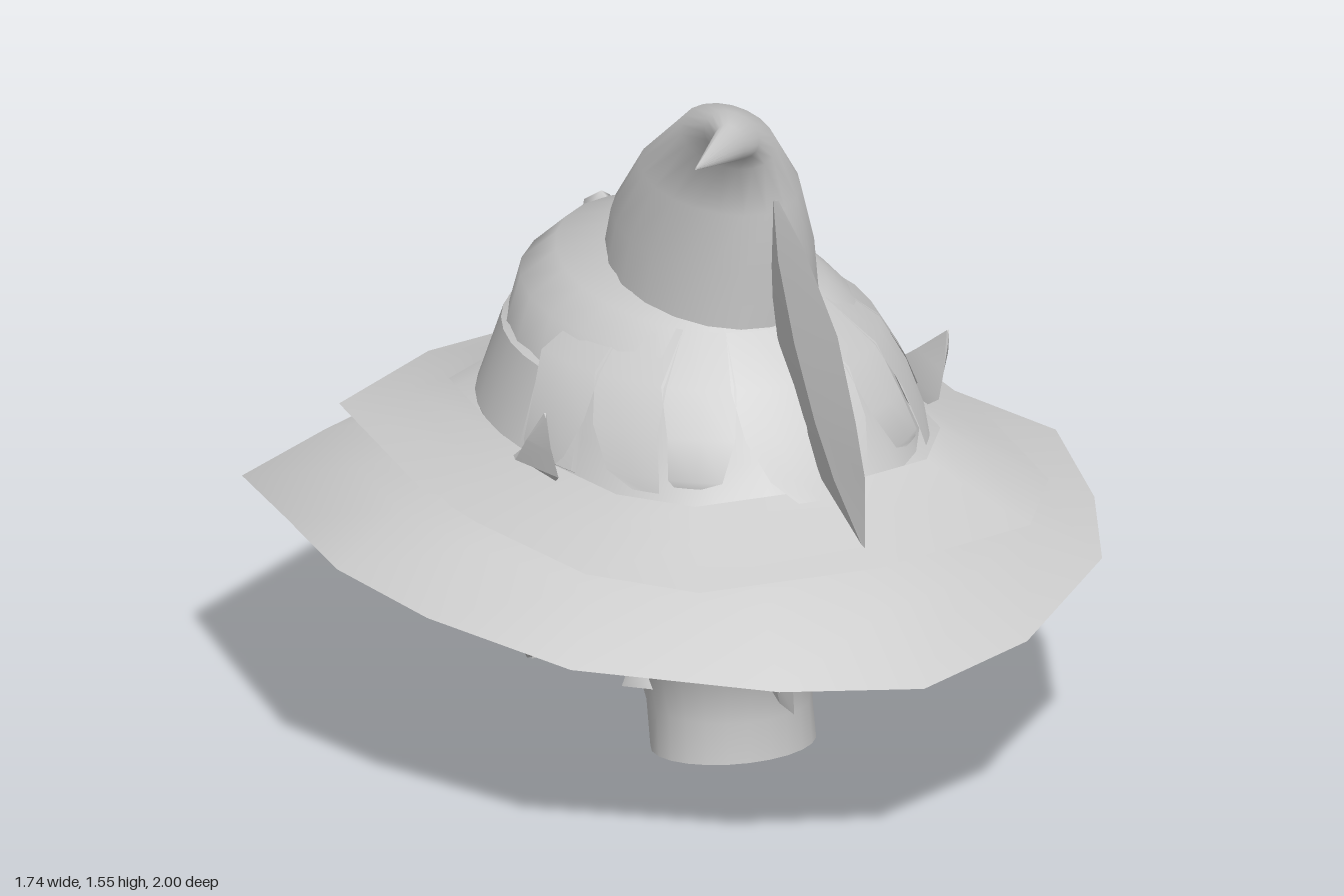
import * as THREE from 'three';
import { toCreasedNormals } from 'three/addons/utils/BufferGeometryUtils.js';

const grey = new THREE.MeshStandardMaterial({ color: 0xcccccc, side: THREE.DoubleSide });
grey.name = 'light grey';

// Joins rows of points into a skin; closed rows wrap around, caps close both ends
function skin(rows, closed = true, caps = false, crease = 0.7) {
  const n = rows[0].length, pos = rows.flat(2), idx = [];
  for (let r = 0; r < rows.length - 1; r++)
    for (let i = 0; i < (closed ? n : n - 1); i++) {
      const j = (i + 1) % n, a = r * n + i, b = r * n + j;
      idx.push(a, b, b + n, a, b + n, a + n);
    }
  if (caps)
    for (let i = 1; i < n - 1; i++) {
      const e = (rows.length - 1) * n;
      idx.push(0, i + 1, i, e, e + i, e + i + 1);
    }
  const g = new THREE.BufferGeometry();
  g.setAttribute('position', new THREE.Float32BufferAttribute(pos, 3));
  g.setIndex(idx);
  g.computeVertexNormals();
  return toCreasedNormals(g, crease);
}

// Tilted ellipse from its front point, back point, half width and x centre
function ring([zf, yf, zb, yb, rx, cx = 0], n = 24) {
  return Array.from({ length: n }, (_, i) => {
    const a = (i / n) * Math.PI * 2, t = Math.cos(a);
    return [cx + rx * Math.sin(a), (yf + yb) / 2 + t * (yf - yb) / 2, (zf + zb) / 2 + t * (zf - zb) / 2];
  });
}

// Diamond-section blade: each row is [outer z, outer y, inner z, inner y, half thickness]
function blade(rows) {
  return skin(rows.map(([zo, yo, zi, yi, w]) => {
    const y = (yo + yi) / 2, z = (zo + zi) / 2;
    return [[0, yo, zo], [w, y, z], [0, yi, zi], [-w, y, z]];
  }), true, true, 0.3);
}

const crownRings = [
  [0.56, 0.7, -0.53, 0.7, 0.44], [0.5, 0.78, -0.5, 0.8, 0.41], [0.45, 0.88, -0.475, 0.9, 0.375],
  [0.39, 0.97, -0.47, 0.99, 0.33], [0.34, 1.01, -0.38, 1.07, 0.265], [0.3, 1.04, -0.2, 1.14, 0.19],
];

// Point on the crown at a given angle and height, pushed out by lift
function crownPoint(a, y, lift) {
  let k = 0;
  while (k < 3 && y > crownRings[k + 1][1]) k++;
  const p = crownRings[k], q = crownRings[k + 1];
  const t = (y - p[1]) / (q[1] - p[1]);
  const v = p.map((c, i) => c + (q[i] - c) * t);
  return [(v[4] + lift) * Math.sin(a), y, (v[0] + v[2]) / 2 + Math.cos(a) * ((v[0] - v[2]) / 2 + lift)];
}

export function createModel() {
  const model = new THREE.Group();
  const add = (name, geometry, parent = model) => {
    const m = new THREE.Mesh(geometry, grey);
    m.name = name;
    parent.add(m);
    return m;
  };

  // Wide angular brim, riding higher on one side
  const rim = [
    [0, 0.43, 1], [0.31, 0.44, 0.89], [0.64, 0.47, 0.62], [0.77, 0.49, 0.35], [0.87, 0.5, 0],
    [0.78, 0.5, -0.33], [0.61, 0.48, -0.7], [0.35, 0.45, -0.94], [0.05, 0.5, -1], [-0.29, 0.44, -0.93],
    [-0.73, 0.47, -0.67], [-0.8, 0.5, -0.35], [-0.87, 0.52, 0], [-0.8, 0.49, 0.27], [-0.64, 0.46, 0.61],
    [-0.29, 0.44, 0.89],
  ];
  const rimAt = (s, y, mix, tilt) => rim.map(([x, ry, z]) => [x * s, y + (ry - 0.47) * mix - x * tilt, z * s]);
  add('brim', skin([rim, rimAt(0.82, 0.562, 0.5, 0.04), rimAt(0.63, 0.63, 0, 0.025), rimAt(0.46, 0.68, 0, 0)], true, false, 1.2));

  // Smaller brim layer lying over it
  const half = [[0, 0.8], [0.4, 0.74], [0.56, 0.53], [0.62, 0.16], [0.63, -0.07], [0.55, -0.57], [0.24, -0.74]];
  const layer = [...half, [0, -0.77], ...half.slice(1).reverse().map(([x, z]) => [-x, z])];
  add('brimLayer', skin([
    layer.map(([x, z]) => [x, 0.635, z]),
    layer.map(([x, z]) => [x * 0.82, 0.685, z * 0.8]),
    layer.map(([x, z]) => [x * 0.7, 0.725, z * 0.68]),
  ], true, false, 1.2));

  // Crown and bent point of the hat
  add('crown', skin(crownRings.map((r) => ring(r)), true, false, 0.9));
  add('hatPoint', skin([
    [0.33, 1.02, -0.2, 1.11, 0.215], [0.34, 1.15, -0.18, 1.19, 0.2, -0.005],
    [0.35, 1.29, -0.06, 1.33, 0.16, -0.022], [0.35, 1.4, 0.13, 1.47, 0.1, -0.055],
    [0.4, 1.45, 0.29, 1.52, 0.06, -0.105], [0.48, 1.485, 0.43, 1.55, 0.035, -0.17],
    [0.58, 1.53, 0.58, 1.535, 0.003, -0.32],
  ].map((r) => ring(r, 20)), true, false, 1));

  // Upright crest blade
  add('crest', blade([
    [0.36, 1.32, 0.33, 1.31, 0.004], [0.47, 1.25, 0.32, 1.15, 0.02], [0.62, 1.1, 0.36, 0.99, 0.033],
    [0.7, 0.93, 0.45, 0.86, 0.03], [0.74, 0.82, 0.55, 0.75, 0.022], [0.74, 0.66, 0.72, 0.67, 0.003],
  ]));

  // Torn flaps hanging over the front of the crown
  const flaps = new THREE.Group();
  flaps.name = 'frontFlaps';
  model.add(flaps);
  for (let i = 0; i < 8; i++) {
    const a = (i - 3.5) * 0.37, low = 0.715 + (i % 3) * 0.015, lean = i % 2 ? 0.05 : -0.04;
    const row = (y, w, lift, s = 0) => [-w, 0, w].map((d) => crownPoint(a + d + s, y, lift));
    add('flap', skin([
      row(1.02, 0.16 + (i % 2) * 0.05, 0.012), row(0.93, 0.2, 0.03), row(0.84, 0.16, 0.04),
      row(0.76, 0.12, 0.04, lean), row(low, 0.06, 0.03, lean * 2),
    ], false), flaps);
  }

  // Band around the sides and back
  const bandRows = [];
  for (let i = 0; i <= 24; i++) {
    const a = 1.2 + (i / 24) * (2 * Math.PI - 2.4);
    bandRows.push([[0.72, 0.0], [0.73, 0.02], [0.89, 0.014], [0.9, 0.0]].map(([y, l]) => crownPoint(a, y, l)));
  }
  add('band', skin(bandRows, true, true));

  // Buckle at the back
  const buckle = new THREE.Group();
  buckle.name = 'buckle';
  buckle.position.set(0, 0.81, -0.525);
  buckle.rotation.x = 0.25;
  model.add(buckle);
  for (const s of [-1, 1]) {
    add('buckleSide', new THREE.BoxGeometry(0.02, 0.15, 0.02), buckle).position.x = s * 0.06;
    add('buckleBar', new THREE.BoxGeometry(0.14, 0.02, 0.02), buckle).position.y = s * 0.065;
  }
  const pin = add('bucklePin', new THREE.BoxGeometry(0.16, 0.018, 0.02), buckle);
  pin.position.set(-0.05, 0, -0.01);

  // Small tuft on the crown
  const tuft = add('tuft', new THREE.CylinderGeometry(0.03, 0.06, 0.05, 4));
  tuft.position.set(0, 1.03, -0.42);
  tuft.rotation.x = -0.8;

  // Neck and skull
  add('neck', skin([
    [0.325, 0.03, 0, 0, 0.18], [0.32, 0.12, -0.03, 0.1, 0.176], [0.33, 0.2, -0.08, 0.18, 0.186],
    [0.39, 0.32, -0.15, 0.3, 0.23], [0.45, 0.47, -0.25, 0.47, 0.32], [0.47, 0.68, -0.3, 0.68, 0.36],
  ].map((r) => ring(r)), true, false, 1));
  add('face', skin([
    [-0.06, 0.13, -0.38, 0.1, 0.08], [0.02, 0.15, -0.4, 0.12, 0.16], [0.1, 0.24, -0.43, 0.23, 0.23],
    [0.15, 0.36, -0.45, 0.36, 0.29], [0.15, 0.5, -0.43, 0.5, 0.32], [0.15, 0.68, -0.4, 0.68, 0.34],
  ].map((r) => ring(r)), true, true, 0.9));

  // Hair ridge at the nape
  add('napeRidge', blade([
    [0.52, 0.46, 0.36, 0.46, 0.03], [0.46, 0.35, 0.33, 0.33, 0.022],
    [0.42, 0.27, 0.32, 0.23, 0.018], [0.43, 0.17, 0.33, 0.19, 0.008],
  ]));

  // Mirrored side parts
  for (const s of [1, -1]) {
    const side = new THREE.Group();
    side.name = s > 0 ? 'leftSide' : 'rightSide';
    model.add(side);
    const at = (rows) => rows.map((r) => r.map(([x, y, z]) => [x * s, y, z]));

    // Swept cheek guard: edge against the head, ridge, outer lower edge, underside
    add('cheekGuard', skin(at([
      [[0.5, 0.34, 0.21], [0.51, 0.335, 0.215], [0.52, 0.325, 0.22], [0.5, 0.32, 0.21]],
      [[0.3, 0.45, 0.06], [0.37, 0.42, 0.07], [0.42, 0.31, 0.07], [0.24, 0.3, 0.06]],
      [[0.3, 0.5, -0.1], [0.35, 0.42, -0.08], [0.37, 0.26, -0.1], [0.22, 0.22, -0.08]],
      [[0.26, 0.46, -0.3], [0.31, 0.34, -0.27], [0.31, 0.18, -0.22], [0.18, 0.15, -0.16]],
      [[0.18, 0.3, -0.4], [0.24, 0.2, -0.38], [0.25, 0.095, -0.29], [0.13, 0.1, -0.25]],
    ]), true, true, 0.4), side);

    // Ear
    const ear = add('ear', new THREE.TorusGeometry(0.055, 0.022, 6, 12), side);
    ear.scale.set(1.2, 0.8, 1);
    ear.rotation.y = Math.PI / 2;
    ear.position.set(s * 0.31, 0.46, 0.07);

    // Pointed leaf at the end of the band
    add('bandLeaf', skin(at([
      [[0.42, 0.74, 0.04], [0.47, 0.72, 0.05], [0.45, 0.71, 0.2]],
      [[0.43, 0.77, 0.08], [0.515, 0.75, 0.14], [0.46, 0.73, 0.23]],
      [[0.45, 0.82, 0.15], [0.51, 0.81, 0.18], [0.475, 0.79, 0.225]],
      [[0.485, 0.88, 0.22], [0.49, 0.88, 0.22], [0.488, 0.87, 0.225]],
    ]), true, true, 0.3), side);

    // Hair strands over the face: top x, z, then tip x, y, z and half width
    for (const [x, z, tx, ty, tz, w] of [
      [0.07, -0.47, 0.04, 0.38, -0.53, 0.07], [0.18, -0.41, 0.16, 0.27, -0.46, 0.08],
      [0.26, -0.32, 0.22, 0.26, -0.4, 0.06], [0.1, -0.38, 0.12, 0.1, -0.4, 0.08],
    ]) {
      const sec = (cx, cy, cz, r) => [[cx - r, cy, cz + r * 0.3], [cx, cy, cz - r * 0.5], [cx + r, cy, cz + r * 0.4]];
      add('strand', skin(at([
        sec(x, 0.56, z, w), sec((x + tx) / 2 + 0.01, (0.56 + ty) / 2, (z + tz) / 2 - 0.01, w * 0.8),
        sec(tx, ty, tz, 0.01),
      ]), true, true, 0.3), side);
    }

    // Small jaw spur
    const spur = add('jawSpur', new THREE.CylinderGeometry(0.035, 0.055, 0.05, 4), side);
    spur.position.set(s * 0.175, 0.185, 0.09);
  }
  return model;
}
